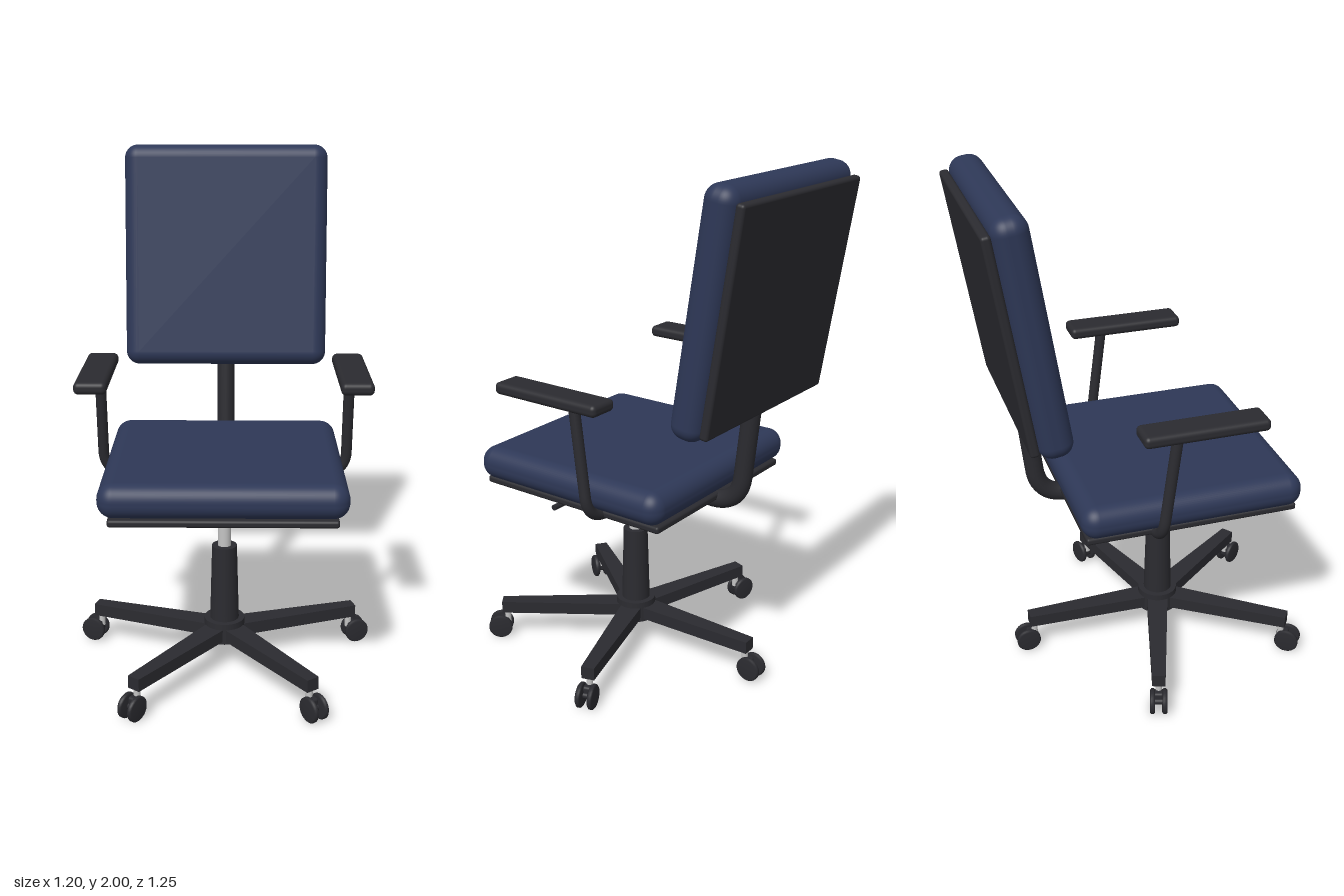
import * as THREE from 'three';
import { RoundedBoxGeometry } from 'three/addons/geometries/RoundedBoxGeometry.js';

const BASE_Z = 0.108;
const V = (x, y, z) => new THREE.Vector3(x, y, z);

export function createModel() {
  const fabric = new THREE.MeshStandardMaterial({ name: 'navy fabric', color: 0x2e3857 });
  const plastic = new THREE.MeshStandardMaterial({ name: 'black plastic', color: 0x2b2b30 });
  const metal = new THREE.MeshStandardMaterial({ name: 'polished metal', color: 0xc4c4c4 });

  const chair = new THREE.Group();
  chair.name = 'officeChair';

  const add = (parent, name, geometry, material, x = 0, y = 0, z = 0) => {
    const mesh = new THREE.Mesh(geometry, material);
    mesh.name = name;
    mesh.position.set(x, y, z);
    parent.add(mesh);
    return mesh;
  };
  const group = (parent, name, x = 0, y = 0, z = 0) => {
    const g = new THREE.Group();
    g.name = name;
    g.position.set(x, y, z);
    parent.add(g);
    return g;
  };
  const rounded = (w, h, d, r, s = 5) => new RoundedBoxGeometry(w, h, d, s, r);
  const cylinder = (top, bottom, h) => new THREE.CylinderGeometry(top, bottom, h, 32);

  // Pipe with straight runs and one rounded bend: start, bend corner, end
  const bentTube = (start, corner, end, bend, radius) => {
    const a = corner.clone().add(start.clone().sub(corner).setLength(bend));
    const b = corner.clone().add(end.clone().sub(corner).setLength(bend));
    const path = new THREE.CurvePath();
    path.add(new THREE.LineCurve3(start, a));
    path.add(new THREE.QuadraticBezierCurve3(a, corner, b));
    path.add(new THREE.LineCurve3(b, end));
    return new THREE.TubeGeometry(path, 48, radius, 16);
  };

  // Seat, pan and tilt mechanism
  add(chair, 'seatCushion', rounded(0.904, 0.13, 0.865, 0.06, 6), fabric, 0, 0.83, BASE_Z);
  add(chair, 'seatPan', rounded(0.83, 0.028, 0.83, 0.01, 2), plastic, 0, 0.753, BASE_Z);
  add(chair, 'tiltMechanism', rounded(0.37, 0.066, 0.412, 0.006, 2), plastic, 0, 0.708, BASE_Z);
  const lever = add(chair, 'heightLever', cylinder(0.011, 0.011, 0.23), plastic, 0.28, 0.705, 0.2);
  lever.rotation.z = Math.PI / 2;

  // Reclined backrest
  const back = group(chair, 'backrest', 0, 1.553, -0.4625);
  back.rotation.x = THREE.MathUtils.degToRad(-9);
  add(back, 'backCushion', rounded(0.83, 0.9, 0.13, 0.055, 6), fabric);
  add(back, 'backShell', rounded(0.79, 0.825, 0.035, 0.012, 3), plastic, 0, -0.004, -0.081);

  // Curved bar joining seat and backrest
  add(chair, 'backSupport', bentTube(
    V(0, 0.732, -0.05), V(0, 0.732, -0.388), V(0, 1.25, -0.446), 0.12, 0.036), plastic);

  // Mirrored armrests
  for (const side of [1, -1]) {
    const arm = group(chair, side > 0 ? 'leftArmrest' : 'rightArmrest');
    add(arm, 'armPad', rounded(0.12, 0.046, 0.47, 0.018, 4), plastic, side * 0.482, 1.199, 0.108);
    add(arm, 'armPost', bentTube(
      V(side * 0.325, 0.738, -0.042), V(side * 0.482, 0.758, -0.04), V(side * 0.482, 1.19, 0.014),
      0.085, 0.021), plastic);
    const cap = add(arm, 'armPostEnd', new THREE.CircleGeometry(0.021, 16), plastic, side * 0.325, 0.738, -0.042);
    cap.rotation.y = -side * Math.PI / 2;
  }

  // Gas lift and hub
  const base = group(chair, 'base', 0, 0, BASE_Z);
  add(base, 'gasPiston', cylinder(0.026, 0.026, 0.2), metal, 0, 0.585);
  add(base, 'columnSleeve', cylinder(0.049, 0.058, 0.33), plastic, 0, 0.335);
  add(base, 'hub', cylinder(0.08, 0.084, 0.085), plastic, 0, 0.1475);
  add(base, 'hubCap', cylinder(0.055, 0.05, 0.02), plastic, 0, 0.1);

  // Tapered spoke outline, extruded to its thickness
  const spoke = new THREE.Shape([
    new THREE.Vector2(-0.045, 0), new THREE.Vector2(0.045, 0),
    new THREE.Vector2(0.026, 0.56), new THREE.Vector2(-0.026, 0.56)]);
  const spokeGeometry = new THREE.ExtrudeGeometry(spoke, { depth: 0.05, bevelEnabled: false });
  spokeGeometry.rotateX(Math.PI / 2);

  // Wheel profile with softened rims, turned onto the axle
  const wheelGeometry = new THREE.LatheGeometry([
    [0, -0.01], [0.043, -0.01], [0.049, -0.005], [0.049, 0.005], [0.043, 0.01], [0, 0.01],
  ].map(([r, y]) => new THREE.Vector2(r, y)), 28);
  wheelGeometry.rotateZ(Math.PI / 2);

  // Five spokes, each with a twin-wheel caster
  for (let i = 0; i < 5; i++) {
    const leg = group(base, 'leg' + (i + 1));
    leg.rotation.y = Math.PI + i * Math.PI * 2 / 5;
    add(leg, 'spoke', spokeGeometry, plastic, 0, 0.166, 0);

    const caster = group(leg, 'caster', 0, 0.05, 0.57);
    add(caster, 'casterStem', cylinder(0.013, 0.013, 0.06), metal, 0, 0.045, -0.03);
    add(caster, 'casterBody', rounded(0.04, 0.05, 0.04, 0.01, 3), plastic, 0, 0.012, -0.016);
    const axle = add(caster, 'axle', cylinder(0.012, 0.012, 0.05), plastic);
    axle.rotation.z = Math.PI / 2;
    for (const side of [1, -1]) add(caster, 'wheel', wheelGeometry, plastic, side * 0.024, 0, 0);
  }

  return chair;
}
